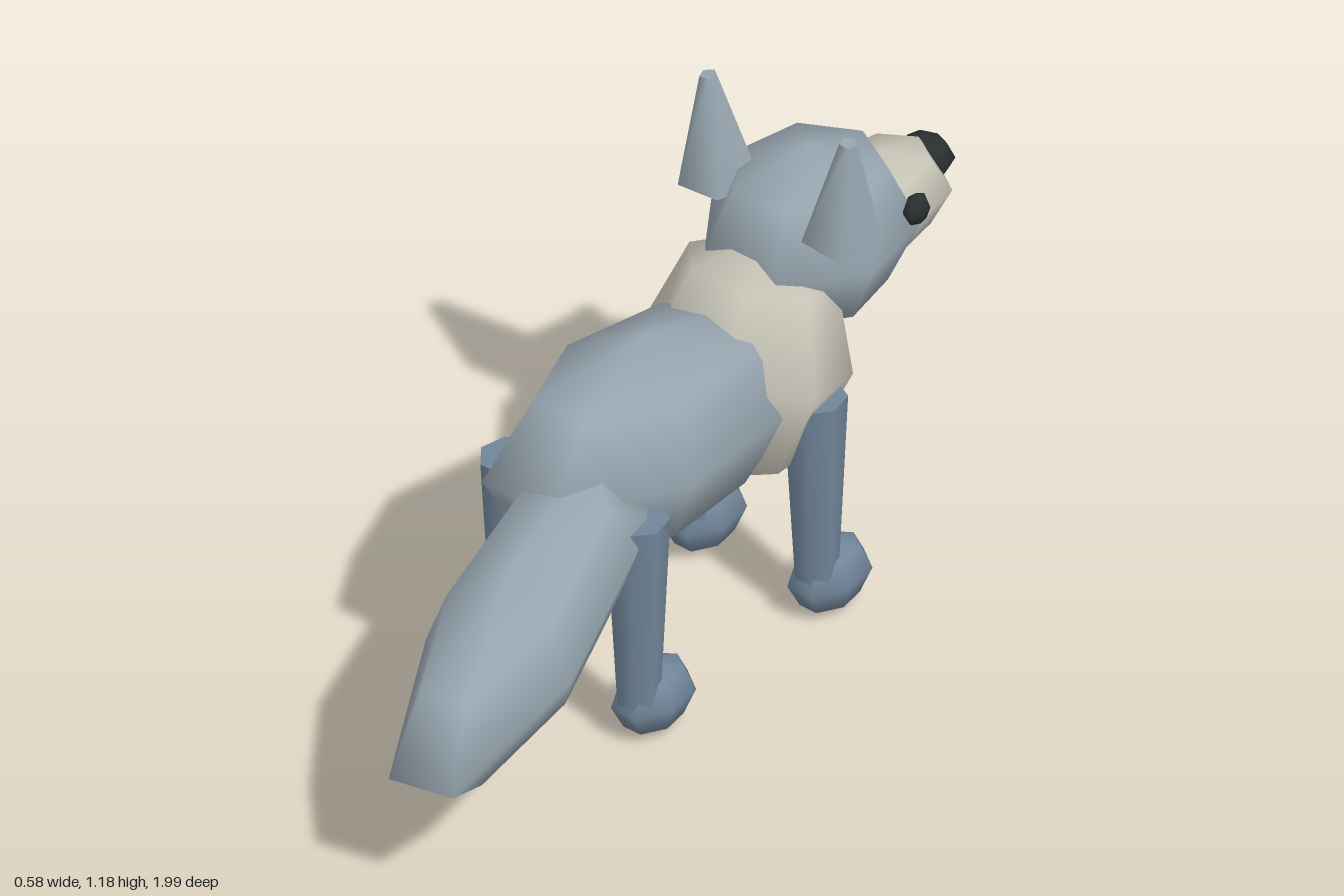
import * as THREE from 'three';

const material = (name, color) => {
  const m = new THREE.MeshStandardMaterial({ color });
  m.name = name;
  return m;
};

export function createModel() {
  const coat = material('greyCoat', 0x97a5af);
  const limb = material('blueGreyLegs', 0x71869a);
  const cream = material('cream', 0xc6c3b6);
  const dark = material('nearBlack', 0x2a2f31);

  const model = new THREE.Group();
  model.name = 'fox';
  const midX = -0.04; // the spine lies beside centre because the tail swings left

  // Low-poly ball with one corner pointing forward (-z) and a flat back
  const ball = new THREE.SphereGeometry(1, 7, 4).rotateY(-Math.PI / 2);
  const blob = (name, mat, pos, size, pitch = 0, yaw = 0) => {
    const mesh = new THREE.Mesh(ball, mat);
    mesh.name = name;
    mesh.position.set(...pos);
    mesh.scale.set(...size);
    mesh.rotation.set(pitch, yaw, 0, 'YXZ');
    model.add(mesh);
  };

  // Tapered column between two points
  const column = (name, mat, from, to, rBottom, rTop, sides) => {
    const a = new THREE.Vector3(...from);
    const b = new THREE.Vector3(...to);
    const geo = new THREE.CylinderGeometry(rTop, rBottom, a.distanceTo(b), sides);
    geo.rotateY(Math.PI);
    const mesh = new THREE.Mesh(geo, mat);
    mesh.name = name;
    mesh.position.copy(a).add(b).multiplyScalar(0.5);
    mesh.quaternion.setFromUnitVectors(new THREE.Vector3(0, 1, 0), b.sub(a).normalize());
    model.add(mesh);
  };

  // Torso and tail
  blob('body', coat, [midX, 0.595, -0.02], [0.23, 0.235, 0.45], -0.085);
  blob('chestRuff', cream, [midX, 0.605, -0.35], [0.24, 0.285, 0.22], -0.26);
  blob('tail', coat, [0.09, 0.455, 0.52], [0.176, 0.182, 0.54], 0.29, 0.22);

  // Head
  blob('head', coat, [midX, 0.825, -0.56], [0.225, 0.205, 0.25]);
  blob('muzzle', cream, [midX, 0.775, -0.79], [0.135, 0.115, 0.18]);
  blob('nose', dark, [midX, 0.795, -0.943], [0.067, 0.05, 0.052]);

  // Paired parts; the model's front is toward -z
  for (const [side, s] of [['Left', -1], ['Right', 1]]) {
    blob('eye' + side, dark, [midX + s * 0.175, 0.868, -0.703], [0.025, 0.037, 0.037]);
    column('ear' + side, coat, [midX + s * 0.17, 0.92, -0.475],
      [midX + s * 0.192, 1.178, -0.462], 0.093, 0.02, 5);

    for (const [end, legZ, pawZ] of [['front', -0.38, -0.425], ['back', 0.198, 0.148]]) {
      const x = midX + s * 0.172;
      column(end + 'Leg' + side, limb, [x, 0.085, legZ], [x, 0.565, legZ + 0.005], 0.047, 0.071, 7);
      blob(end + 'Paw' + side, limb, [x, 0.083, pawZ], [0.076, 0.083, 0.11]);
    }
  }

  return model;
}
